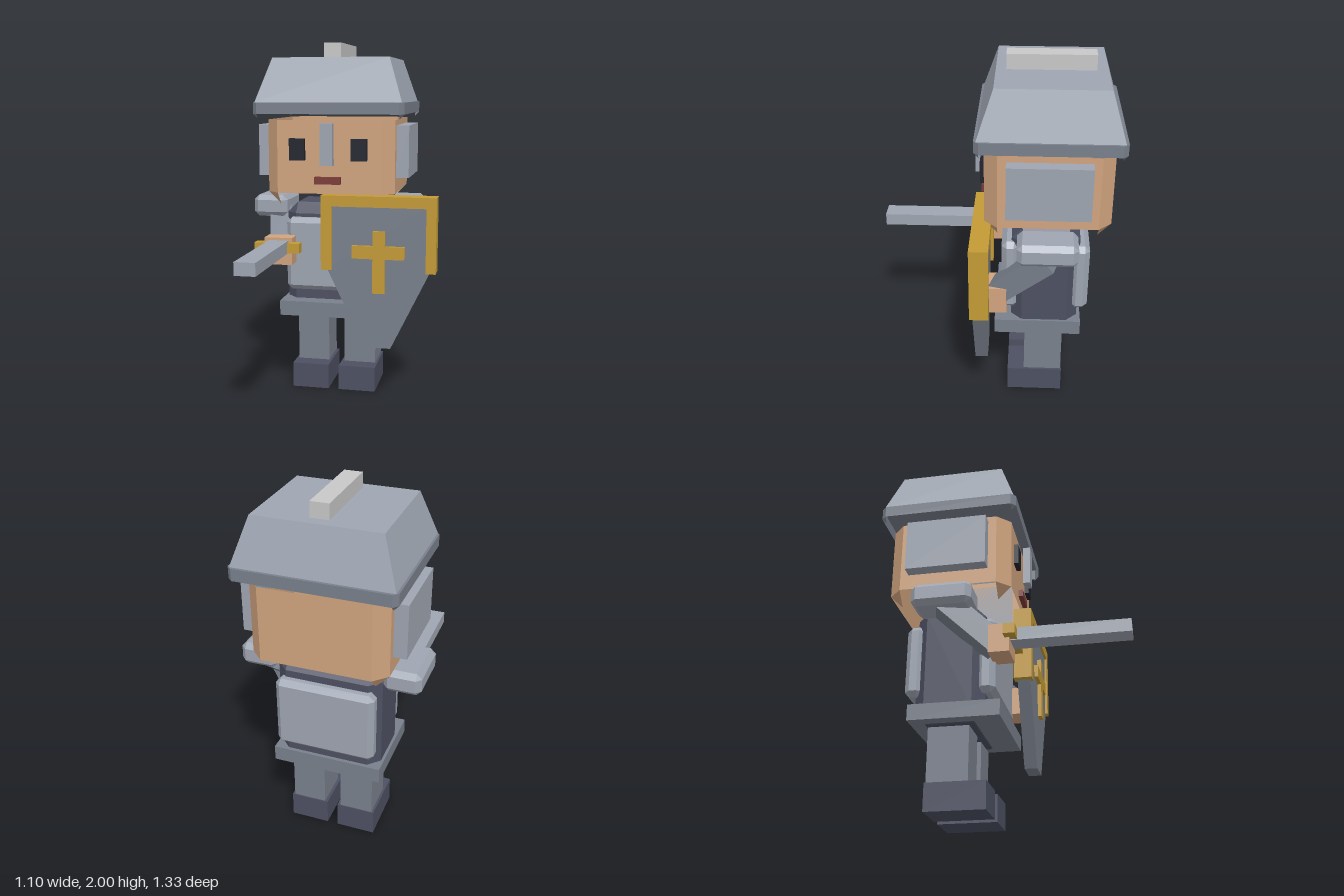
import * as THREE from 'three';
import { ConvexGeometry } from 'three/addons/geometries/ConvexGeometry.js';

const mat = (name, color, open) => {
  const m = new THREE.MeshStandardMaterial({ color });
  m.name = name;
  if (open) m.side = THREE.DoubleSide;
  return m;
};

export function createModel() {
  const steel = mat('steel', 0x9ea5b1, true);
  const iron = mat('iron', 0x79808c, true);
  const navy = mat('dark cloth', 0x4d5062);
  const skin = mat('skin', 0xd0a47e, true);
  const gold = mat('gold', 0xc39a35);
  const black = mat('eye black', 0x20232e);
  const red = mat('mouth red', 0x7a3b38);
  const pale = mat('pale crest', 0xc8c8c8);

  const model = new THREE.Group();
  model.name = 'knight';
  const CX = -0.06; // body's own centre line

  const add = (name, geo, material) => {
    const m = new THREE.Mesh(geo, material);
    m.name = name;
    model.add(m);
    return m;
  };
  // Box from its limits
  const box = (name, material, x0, x1, y0, y1, z0, z1) => {
    const g = new THREE.BoxGeometry(x1 - x0, y1 - y0, z1 - z0);
    g.translate((x0 + x1) / 2, (y0 + y1) / 2, (z0 + z1) / 2);
    return add(name, g, material);
  };
  // Box with every edge bevelled by b
  const bevelBox = (name, material, x0, x1, y0, y1, z0, z1, b) => {
    const h = [(x1 - x0) / 2, (y1 - y0) / 2, (z1 - z0) / 2];
    const pts = [];
    for (const sx of [-1, 1]) for (const sy of [-1, 1]) for (const sz of [-1, 1])
      for (let a = 0; a < 3; a++) {
        const d = h.map((v, i) => (i === a ? v : v - b));
        pts.push(new THREE.Vector3(sx * d[0], sy * d[1], sz * d[2]));
      }
    const g = new ConvexGeometry(pts);
    g.translate((x0 + x1) / 2, (y0 + y1) / 2, (z0 + z1) / 2);
    return add(name, g, material);
  };
  // Open wall with chamfered corners and a small triangle hanging from each corner
  const shell = (name, material, x0, x1, y0, y1, z0, z1, b) => {
    const ring = [
      [x1 - b, z1], [x1, z1 - b], [x1, z0 + b], [x1 - b, z0],
      [x0 + b, z0], [x0, z0 + b], [x0, z1 - b], [x0 + b, z1],
    ];
    const inner = [[x1 - b, z1 - b], [x1 - b, z0 + b], [x0 + b, z0 + b], [x0 + b, z1 - b]];
    const p = [];
    ring.forEach(([ax, az], i) => {
      const [bx, bz] = ring[(i + 1) % 8];
      p.push(ax, y0, az, bx, y0, bz, bx, y1, bz, ax, y0, az, bx, y1, bz, ax, y1, az);
      if (i % 2 === 0) {
        const [cx, cz] = inner[i / 2];
        p.push(ax, y0, az, cx, y0 - b, cz, bx, y0, bz);
      }
    });
    const g = new THREE.BufferGeometry();
    g.setAttribute('position', new THREE.Float32BufferAttribute(p, 3));
    g.computeVertexNormals();
    return add(name, g, material);
  };
  // Square bar between two points
  const bar = (name, material, a, b, w) => {
    const A = new THREE.Vector3(...a), B = new THREE.Vector3(...b);
    const m = add(name, new THREE.BoxGeometry(w, w, A.distanceTo(B)), material);
    m.position.copy(A).add(B).multiplyScalar(0.5);
    m.lookAt(B);
    return m;
  };
  // Flat outline pushed out along z
  const plate = (name, material, pts, z0, z1) => {
    const g = new THREE.ExtrudeGeometry(
      new THREE.Shape(pts.map(([x, y]) => new THREE.Vector2(x, y))),
      { depth: z1 - z0, bevelEnabled: false });
    g.translate(0, 0, z0);
    return add(name, g, material);
  };

  // Legs, boots, shoulder pads, ear plates and eyes, on both sides
  for (const s of [-1, 1]) {
    const side = s > 0 ? 'left' : 'right';
    const pair = (fn, name, material, a, b, ...rest) => {
      const x = [CX + s * a, CX + s * b].sort((p, q) => p - q);
      fn(side + name, material, ...x, ...rest);
    };
    pair(box, 'Boot', navy, 0.03, 0.245, 0, 0.145, -0.4, -0.085);
    pair(box, 'Leg', iron, 0.047, 0.232, 0.145, 0.435, -0.395, -0.18);
    pair(bevelBox, 'ShoulderPad', steel, 0.29, 0.49, 1.01, 1.135, -0.45, -0.13, 0.028);
    pair(box, 'EarPlate', steel, 0.36, 0.43, 1.26, 1.55, -0.505, -0.07);
    pair(box, 'Eye', black, 0.13, 0.217, 1.36, 1.48, 0.045, 0.07);
  }

  // Torso
  bevelBox('torso', navy, -0.345, 0.225, 0.45, 1.1, -0.47, -0.1, 0.06);
  box('belt', iron, -0.36, 0.24, 0.455, 0.54, -0.49, -0.01);
  bevelBox('chestPlate', steel, -0.33, 0.21, 0.6, 1.02, -0.14, -0.045, 0.028);
  bevelBox('backPlate', steel, -0.33, 0.21, 0.6, 1.0, -0.525, -0.43, 0.028);

  // Head
  shell('head', skin, -0.42, 0.3, 1.175, 1.58, -0.62, 0.045, 0.07);
  box('mouth', red, -0.135, 0.01, 1.23, 1.27, 0.045, 0.07);
  box('noseGuard', steel, -0.095, -0.025, 1.335, 1.565, 0.065, 0.105);

  // Helmet: open brim, sloping crown and crest
  shell('helmetBrim', iron, -0.48, 0.36, 1.613, 1.676, -0.665, 0.09, 0.026);
  const crown = new THREE.BufferGeometry();
  const lo = [[-0.468, 0.078], [0.348, 0.078], [0.348, -0.65], [-0.468, -0.65]];
  const hi = [[-0.387, -0.005], [0.267, -0.005], [0.267, -0.575], [-0.387, -0.575]];
  const cp = [];
  const quad = (a, b, c, d) => cp.push(...a, ...b, ...c, ...a, ...c, ...d);
  const at = (r, i, y) => [r[i % 4][0], y, r[i % 4][1]];
  for (let i = 0; i < 4; i++) quad(at(lo, i, 1.676), at(lo, i + 1, 1.676), at(hi, i + 1, 1.92), at(hi, i, 1.92));
  quad(at(hi, 0, 1.92), at(hi, 1, 1.92), at(hi, 2, 1.92), at(hi, 3, 1.92));
  crown.setAttribute('position', new THREE.Float32BufferAttribute(cp, 3));
  crown.computeVertexNormals();
  add('helmetCrown', crown, steel);
  // Narrow ledge joining brim and crown
  const ledge = new THREE.Shape([[-0.454, -0.09], [0.334, -0.09], [0.36, -0.064], [0.36, 0.639],
    [0.334, 0.665], [-0.454, 0.665], [-0.48, 0.639], [-0.48, -0.064]].map(p => new THREE.Vector2(...p)));
  ledge.holes.push(new THREE.Path(lo.map(([x, z]) => new THREE.Vector2(x, -z))));
  const ledgeGeo = new THREE.ShapeGeometry(ledge);
  ledgeGeo.rotateX(-Math.PI / 2).translate(0, 1.676, 0);
  add('helmetLedge', ledgeGeo, iron);
  box('crest', pale, -0.107, -0.01, 1.92, 2.0, -0.515, -0.058);

  // Arms and hands
  bar('rightArm', iron, [-0.43, 1.06, -0.3], [-0.355, 0.82, -0.03], 0.125);
  bar('leftArm', iron, [0.31, 1.0, -0.3], [0.235, 0.74, -0.02], 0.125);
  box('rightHand', skin, -0.43, -0.27, 0.765, 0.92, -0.06, 0.05);
  box('leftHand', skin, 0.155, 0.315, 0.645, 0.8, -0.08, 0.025);

  // Sword
  box('swordGuard', gold, -0.48, -0.22, 0.84, 0.895, 0.025, 0.085);
  box('swordBlade', steel, -0.403, -0.29, 0.835, 0.905, 0.03, 0.665);

  // Shield with a raised rim and cross
  plate('shieldPanel', iron, [[-0.055, 0.76], [0.155, 0.325], [0.3, 0.325], [0.51, 0.76],
    [0.51, 1.14], [-0.055, 1.14]], 0.025, 0.095);
  plate('shieldRim', gold, [[-0.09, 0.76], [-0.03, 0.76], [-0.03, 1.115], [0.49, 1.115],
    [0.49, 0.76], [0.545, 0.76], [0.545, 1.175], [-0.09, 1.175]], 0.008, 0.108);
  plate('shieldCross', gold, [[0.2, 0.64], [0.268, 0.64], [0.268, 0.832], [0.375, 0.832],
    [0.375, 0.903], [0.268, 0.903], [0.268, 0.985], [0.2, 0.985],
    [0.2, 0.903], [0.085, 0.903], [0.085, 0.832], [0.2, 0.832]], 0.09, 0.116);

  return model;
}
